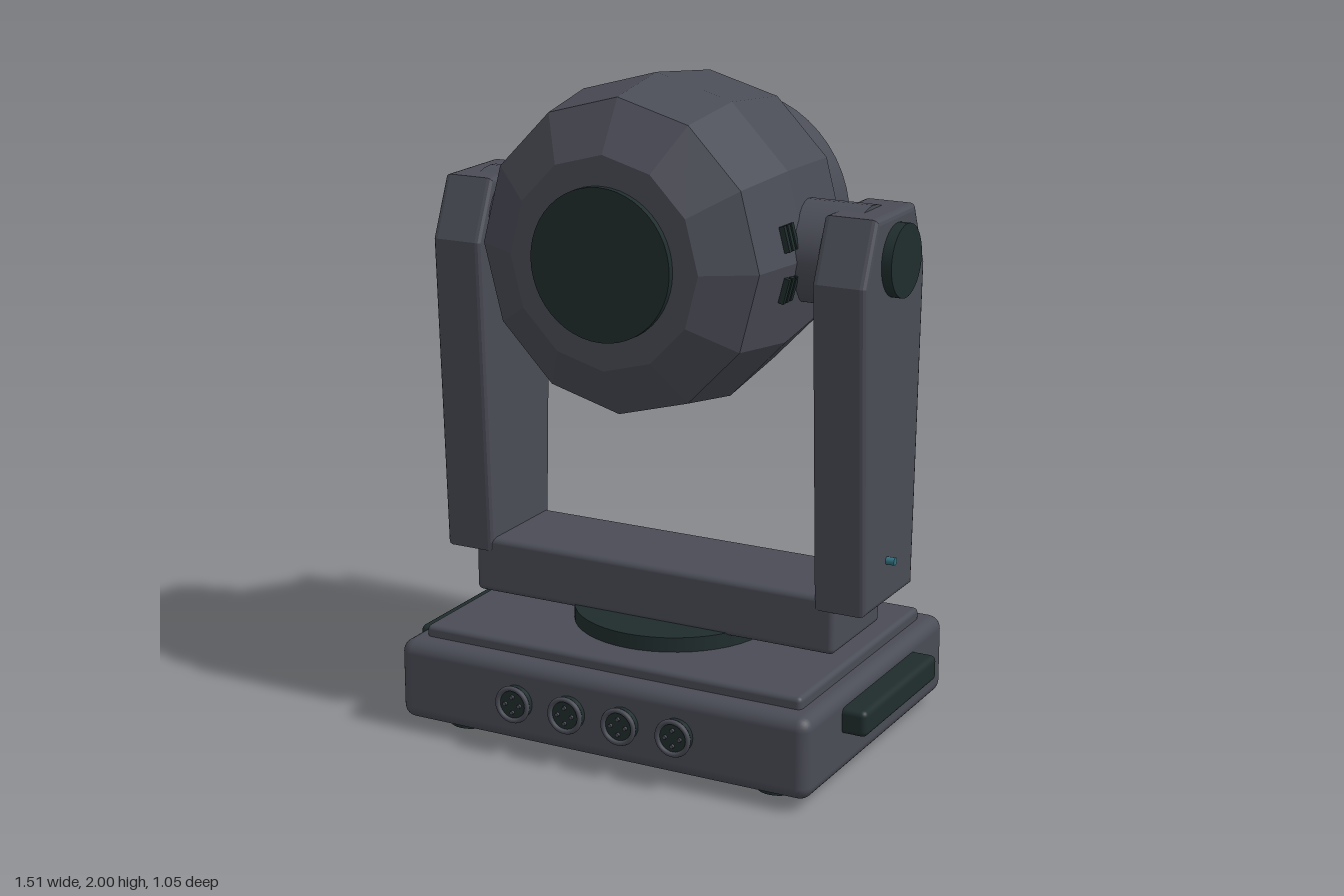
import * as THREE from 'three';
import { RoundedBoxGeometry } from 'three/addons/geometries/RoundedBoxGeometry.js';

export function createModel() {
  const mat = (name, color) => {
    const m = new THREE.MeshStandardMaterial({ color });
    m.name = name;
    return m;
  };
  const body = mat('charcoal grey', 0x4a4c56);
  const dark = mat('dark green black', 0x202d2d);
  const teal = mat('teal glass', 0x33707f);

  const root = new THREE.Group();
  root.name = 'movingHeadLight';
  const add = (name, geo, material, x = 0, y = 0, z = 0, parent = root) => {
    const m = new THREE.Mesh(geo, material);
    m.name = name;
    m.position.set(x, y, z);
    parent.add(m);
    return m;
  };
  const rbox = (w, h, d, r) => new RoundedBoxGeometry(w, h, d, 3, r);
  // cylinders lying along each axis
  const cylY = (r, h, n = 32) => new THREE.CylinderGeometry(r, r, h, n);
  const cylX = (r, h, n = 32) => cylY(r, h, n).rotateZ(Math.PI / 2);
  const cylZ = (r, h, n = 32) => cylY(r, h, n).rotateX(Math.PI / 2);

  // Base
  add('baseBody', rbox(1.36, 0.25, 0.98, 0.04), body, 0, 0.16, 0);
  add('baseTopPlate', rbox(1.25, 0.08, 0.84, 0.015), body, 0, 0.28, 0);
  add('panDisc', cylY(0.305, 0.05, 48), dark, 0, 0.34, 0);
  for (const sx of [-1, 1]) {
    for (const sz of [-1, 1]) add('foot', cylY(0.065, 0.05), dark, sx * 0.52, 0.025, sz * 0.34);
    add('carryHandle', rbox(0.09, 0.08, 0.52, 0.018), dark, sx * 0.71, 0.203, 0);
  }

  // Round sockets on the front, each with four pins
  for (const x of [-0.267, -0.089, 0.089, 0.267]) {
    const socket = new THREE.Group();
    socket.name = 'socket';
    socket.position.set(x, 0.165, 0.49);
    root.add(socket);
    add('socketBody', cylZ(0.052, 0.05), dark, 0, 0, 0, socket);
    add('socketRim', new THREE.TorusGeometry(0.05, 0.008, 8, 32), body, 0, 0, 0.026, socket);
    for (let i = 0; i < 4; i++) {
      const a = (i * Math.PI) / 2;
      add('pin', cylZ(0.006, 0.012, 8), body, Math.cos(a) * 0.024, Math.sin(a) * 0.024, 0.028, socket);
    }
  }

  // Control panel on the back
  add('controlPanel', new THREE.BoxGeometry(0.64, 0.2, 0.03), dark, 0, 0.17, -0.495);
  add('displayScreen', new THREE.BoxGeometry(0.265, 0.12, 0.03), teal, -0.107, 0.17, -0.515);
  for (const x of [0.085, 0.136, 0.188, 0.239]) add('panelButton', cylZ(0.018, 0.03, 16), body, x, 0.17, -0.513);

  // Yoke
  add('yokeCrossbar', rbox(1.21, 0.175, 0.33, 0.018), body, 0, 0.443, 0);
  const b = 0.018;
  const outline = [[-0.17, 0.49], [0.17, 0.49], [0.212, 1.46], [0.14, 1.645], [-0.137, 1.645], [-0.206, 1.46]];
  const armShape = new THREE.Shape(outline.map(([z, y]) =>
    new THREE.Vector2(z - Math.sign(z) * b, y + (y < 1 ? b : y > 1.6 ? -b : 0))));
  const armGeo = new THREE.ExtrudeGeometry(armShape, {
    depth: 0.165 - 2 * b, bevelEnabled: true, bevelSize: b, bevelThickness: b, bevelSegments: 3,
  });
  armGeo.translate(0, 0, -(0.165 - 2 * b) / 2).rotateY(-Math.PI / 2);
  for (const s of [-1, 1]) {
    add('yokeArm', armGeo, body, s * 0.623, 0, 0);
    add('tiltAxle', cylX(0.16, 0.28, 32), body, s * 0.49, 1.507, 0).scale.y = 0.93;
    add('tiltCap', cylX(0.107, 0.06), dark, s * 0.706, 1.508, 0);
    add('indicatorLamp', cylX(0.012, 0.04, 12), teal, s * 0.712, 0.622, 0.022);
  }

  // Faceted head, twelve sides around the z axis
  const head = new THREE.Group();
  head.name = 'head';
  head.position.y = 1.505;
  root.add(head);
  const profile = [[0, -0.42], [0.345, -0.42], [0.455, -0.22], [0.495, 0.11], [0.458, 0.34], [0.31, 0.43], [0, 0.43]];
  let shell = new THREE.LatheGeometry(profile.map(([r, z]) => new THREE.Vector2(r, z)), 12);
  shell = shell.rotateX(Math.PI / 2).scale(0.97, 1, 1).toNonIndexed();
  shell.computeVertexNormals();
  add('headShell', shell, body, 0, 0, 0, head);
  add('frontCap', cylZ(0.222, 0.03, 48), dark, 0, 0, 0.435, head);

  // Lens end at the back of the head
  add('lensCollar', cylZ(0.365, 0.17, 48), body, 0, 0, -0.345, head);
  add('lensRim', cylZ(0.325, 0.03, 48), body, 0, 0, -0.425, head);
  add('lensRing', new THREE.TorusGeometry(0.272, 0.014, 10, 48), body, 0, 0, -0.482, head);
  add('lensGlass', cylZ(0.265, 0.03, 48), teal, 0, 0, -0.486, head);

  // Cooling slots on the side facets, above and below the axle
  for (const sx of [-1, 1]) for (const sy of [-1, 1]) for (const z of [0.152, 0.176, 0.2]) {
    const slot = add('coolingSlot', new THREE.BoxGeometry(0.03, 0.075, 0.015), dark, sx * 0.448, sy * 0.072, z, head);
    slot.rotation.z = sx * sy * 0.26;
  }
  return root;
}
